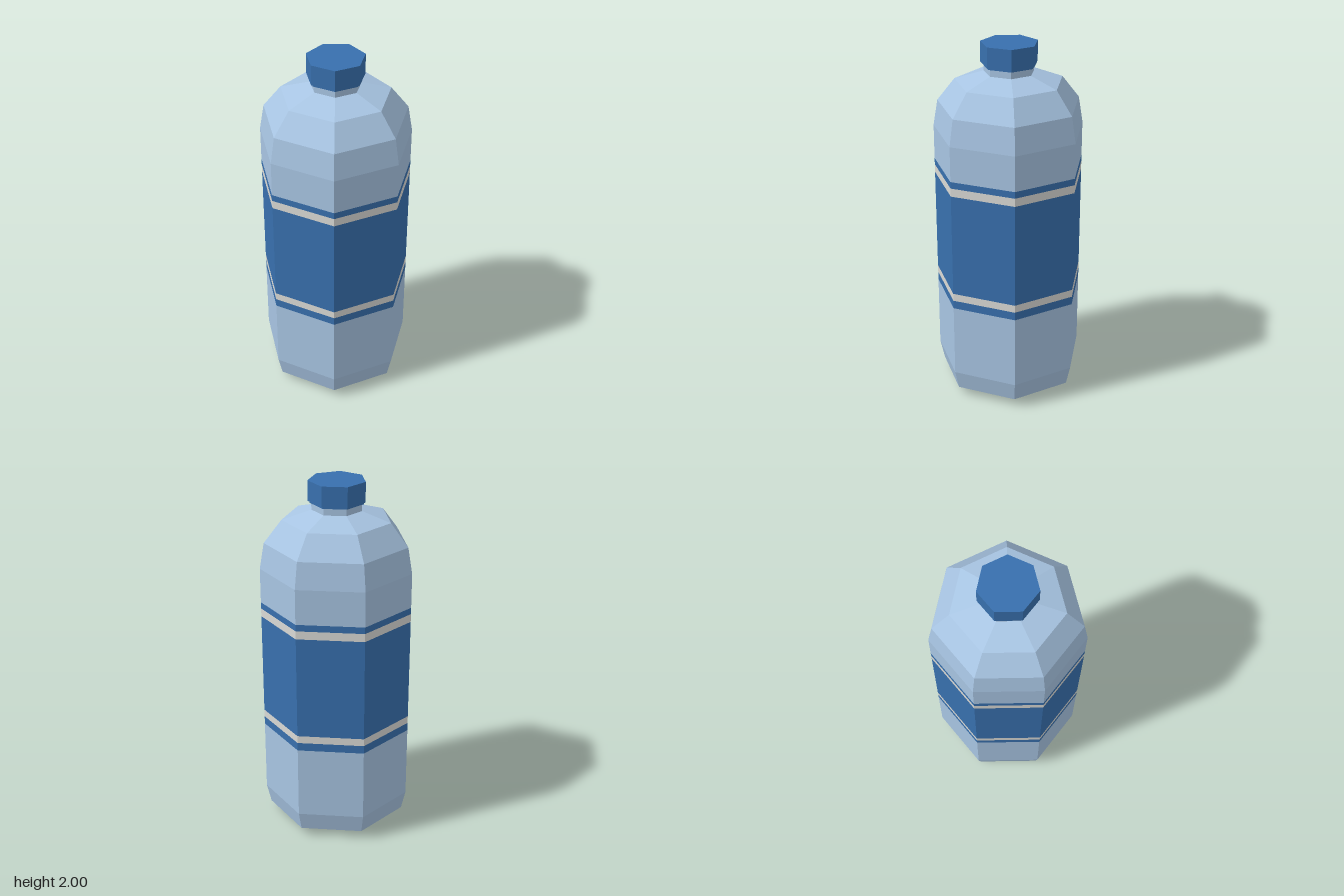
import * as THREE from 'three';

const SIDES = 7;

const plastic = new THREE.MeshStandardMaterial({ color: 0xa8c5e3 });
plastic.name = 'pale blue plastic';
const blue = new THREE.MeshStandardMaterial({ color: 0x3870ae });
blue.name = 'label blue';
const white = new THREE.MeshStandardMaterial({ color: 0xdadad6 });
white.name = 'stripe white';

// Seven-sided faceted ring surface from a [radius, height] profile, bottom to top
function facetedLathe(name, profile, material) {
  const points = profile.map(([r, y]) => new THREE.Vector2(r, y));
  const geometry = new THREE.LatheGeometry(points, SIDES, Math.PI).toNonIndexed();
  geometry.computeVertexNormals(); // unshared corners give flat facets
  const mesh = new THREE.Mesh(geometry, material);
  mesh.name = name;
  return mesh;
}

export function createModel() {
  const bottle = new THREE.Group();
  bottle.name = 'bottle';
  const R = 0.42;

  // Base and lower wall
  bottle.add(facetedLathe('lowerBody',
    [[0, 0], [0.32, 0], [0.395, 0.045], [R, 0.155], [R, 0.57]], plastic));

  // Wrap-around label: blue bands separated by white stripes
  const bands = [
    ['lowerLabelEdge', 0.57, 0.617, blue],
    ['lowerStripe', 0.617, 0.66, white],
    ['label', 0.66, 1.242, blue],
    ['upperStripe', 1.242, 1.288, white],
    ['upperLabelEdge', 1.288, 1.325, blue],
  ];
  for (const [name, y0, y1, material] of bands) {
    bottle.add(facetedLathe(name, [[R, y0], [R, y1]], material));
  }

  // Upper wall, shoulder and neck
  bottle.add(facetedLathe('upperBody',
    [[R, 1.325], [R, 1.52], [0.395, 1.665], [0.298, 1.79], [0.138, 1.84]], plastic));
  bottle.add(facetedLathe('neck', [[0.138, 1.84], [0.138, 1.885]], plastic));

  // Screw cap with a narrow lower lip
  bottle.add(facetedLathe('cap',
    [[0.135, 1.878], [0.147, 1.878], [0.147, 1.888], [0.157, 1.888], [0.157, 2], [0, 2]], blue));

  // A seven-sided plan reaches further back than forward, so shift it to centre
  bottle.position.z = 0.021;
  const model = new THREE.Group();
  model.name = 'waterBottle';
  model.add(bottle);
  return model;
}
